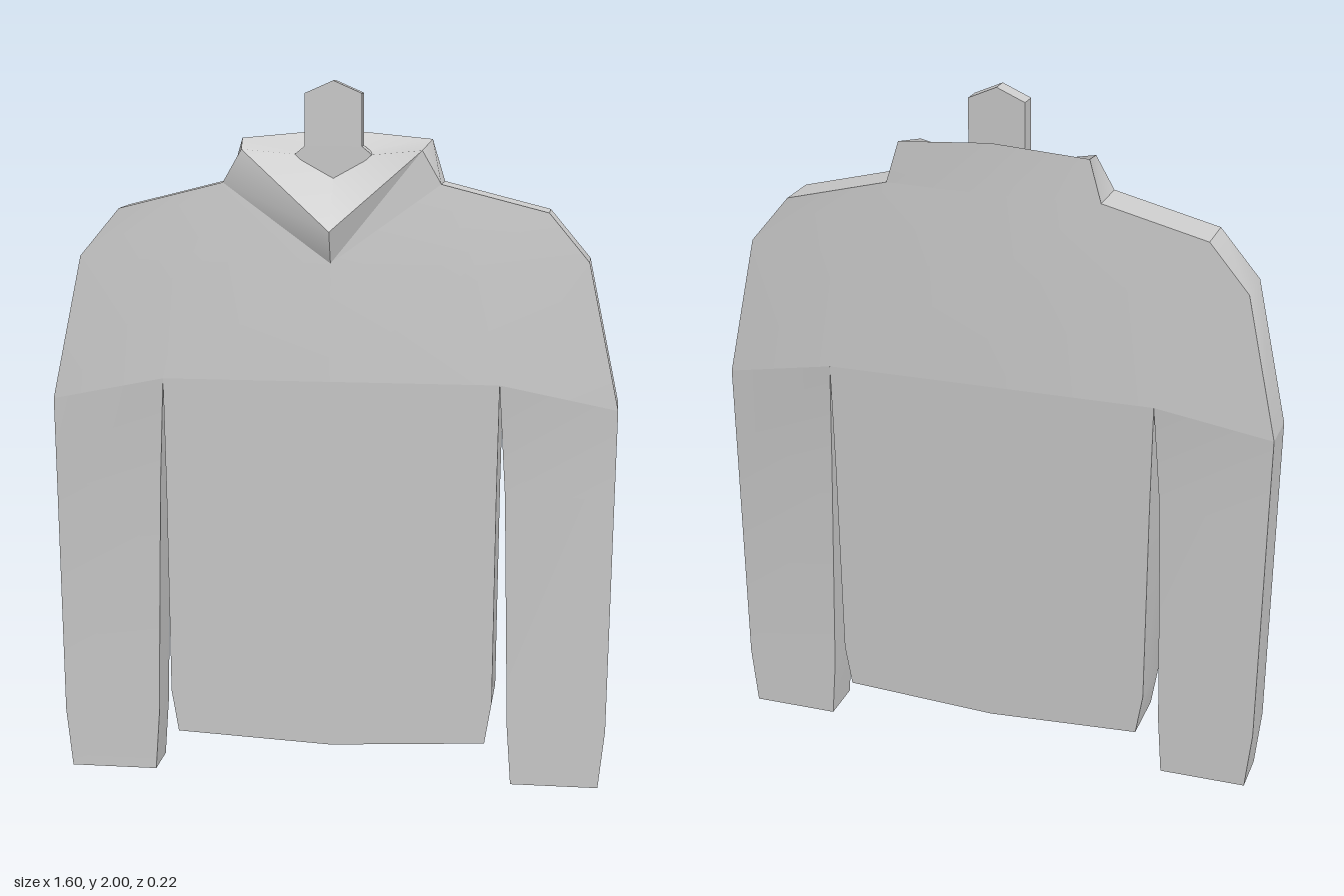
import * as THREE from 'three';
import { toCreasedNormals } from 'three/addons/utils/BufferGeometryUtils.js';

const grey = new THREE.MeshStandardMaterial({ color: 0xcccccc });
grey.name = 'greyKnit';

const flip = ([x, y, z]) => [-x, y, z];

// closed cross-section from outer-to-centre half profiles of front and back
const ring = (f, b) => [
  ...f, ...f.slice(0, -1).reverse().map(flip),
  ...b.map(flip), ...b.slice(0, -1).reverse(),
];

// skin a stack of cross-sections, lowest first
function loft(rows) {
  const tris = [];
  for (let r = 0; r < rows.length - 1; r++) {
    const lo = rows[r], up = rows[r + 1], n = lo.length;
    for (let i = 0; i < n; i++) {
      const j = (i + 1) % n;
      tris.push(lo[j], lo[i], up[i], lo[j], up[i], up[j]);
    }
  }
  return tris;
}

// fan that closes the lower end of a stack
function bottomCap(row) {
  const tris = [];
  for (let i = 1; i < row.length - 1; i++) tris.push(row[0], row[i], row[i + 1]);
  return tris;
}

function part(name, tris, crease = 0.5) {
  const g = new THREE.BufferGeometry();
  g.setAttribute('position', new THREE.Float32BufferAttribute(tris.flat(), 3));
  const mesh = new THREE.Mesh(toCreasedNormals(g, crease), grey);
  mesh.name = name;
  return mesh;
}

export function createModel() {
  const model = new THREE.Group();
  model.name = 'sweaterOnHanger';

  // torso: hem up to the armpits
  const torsoRows = [
    [0.445, 0.128, 0.105, 0.085, -0.093],
    [0.465, 0.25, 0.25, 0.086, -0.095],
    [0.47, 0.85, 0.85, 0.091, -0.106],
    [0.475, 1.17, 1.17, 0.094, -0.113],
  ].map(([w, ySide, yMid, zf, zb]) => ring(
    [[w, ySide, zf], [0, yMid, zf]],
    [[w, ySide, zb], [0, yMid, zb]]));
  model.add(part('torso', [...loft(torsoRows), ...bottomCap(torsoRows[0])]));

  // sleeves: cuff up to the armpit
  for (const side of [1, -1]) {
    const rows = [
      [0.52, 0.77, 0, 0, 0.06, -0.075],
      [0.508, 0.788, 0.17, 0.17, 0.06, -0.075],
      [0.493, 0.798, 0.85, 0.85, 0.065, -0.08],
      [0.475, 0.802, 1.17, 1.1, 0.094, -0.113],
    ].map(([xi, xo, yi, yo, zf, zb]) => {
      const p = [[xo, yo, 0.06], [xi, yi, zf], [xi, yi, zb], [xo, yo, -0.075]];
      return side > 0 ? p : p.map(flip).reverse();
    });
    model.add(part(side > 0 ? 'leftSleeve' : 'rightSleeve', [...loft(rows), ...bottomCap(rows[0])]));
  }

  // chest and shoulders, with a V opening at the front
  const chest = ring(
    [[0.802, 1.1, 0.06], [0.475, 1.17, 0.094], [0, 1.17, 0.094]],
    [[0.802, 1.1, -0.075], [0.475, 1.17, -0.113], [0, 1.17, -0.113]]);
  const upper = ring(
    [[0.715, 1.51, 0.058], [0.4, 1.5, 0.076], [0, 1.5, 0.075]],
    [[0.715, 1.51, -0.075], [0.4, 1.5, -0.092], [0, 1.5, -0.104]]);
  const top = ring(
    [[0.602, 1.645, 0.056], [0.305, 1.72, 0.055], [0, 1.5, 0.075]],
    [[0.602, 1.645, -0.075], [0.305, 1.72, -0.075], [0, 1.72, -0.095]]);
  const shoulderTops = [[0, 9, 8, 1], [3, 6, 5, 4]].flatMap(([a, b, c, d]) =>
    [a, b, c, a, c, d].map(i => top[i]));
  model.add(part('chestAndShoulders', [...loft([chest, upper, top]), ...shoulderTops]));

  // folded collar and the lining inside it
  const collarBase = ring(
    [[0.305, 1.72, 0.055], [0, 1.5, 0.075]],
    [[0.305, 1.72, -0.075], [0, 1.72, -0.095]]);
  const collarRim = ring(
    [[0.252, 1.812, 0.055], [0, 1.59, 0.11]],
    [[0.27, 1.837, -0.07], [0, 1.862, -0.09]]);
  model.add(part('collar', loft([collarBase, collarRim])));
  const dip = [0, 1.785, -0.02];
  const lining = collarRim.flatMap((p, i) => [collarRim[(i + 1) % collarRim.length], p, dip]);
  model.add(part('collarLining', lining, 0.9));

  // hanger stem with a flared foot
  const outline = [[0, 2], [-0.08, 1.965], [-0.08, 1.82], [-0.108, 1.797], [0, 1.7],
    [0.108, 1.797], [0.08, 1.82], [0.08, 1.965]];
  const stem = new THREE.ExtrudeGeometry(
    new THREE.Shape(outline.map(([x, y]) => new THREE.Vector2(x, y))),
    { depth: 0.053, bevelEnabled: false });
  stem.translate(0, 0, -0.037);
  const hanger = new THREE.Mesh(stem, grey);
  hanger.name = 'hangerStem';
  model.add(hanger);

  return model;
}
